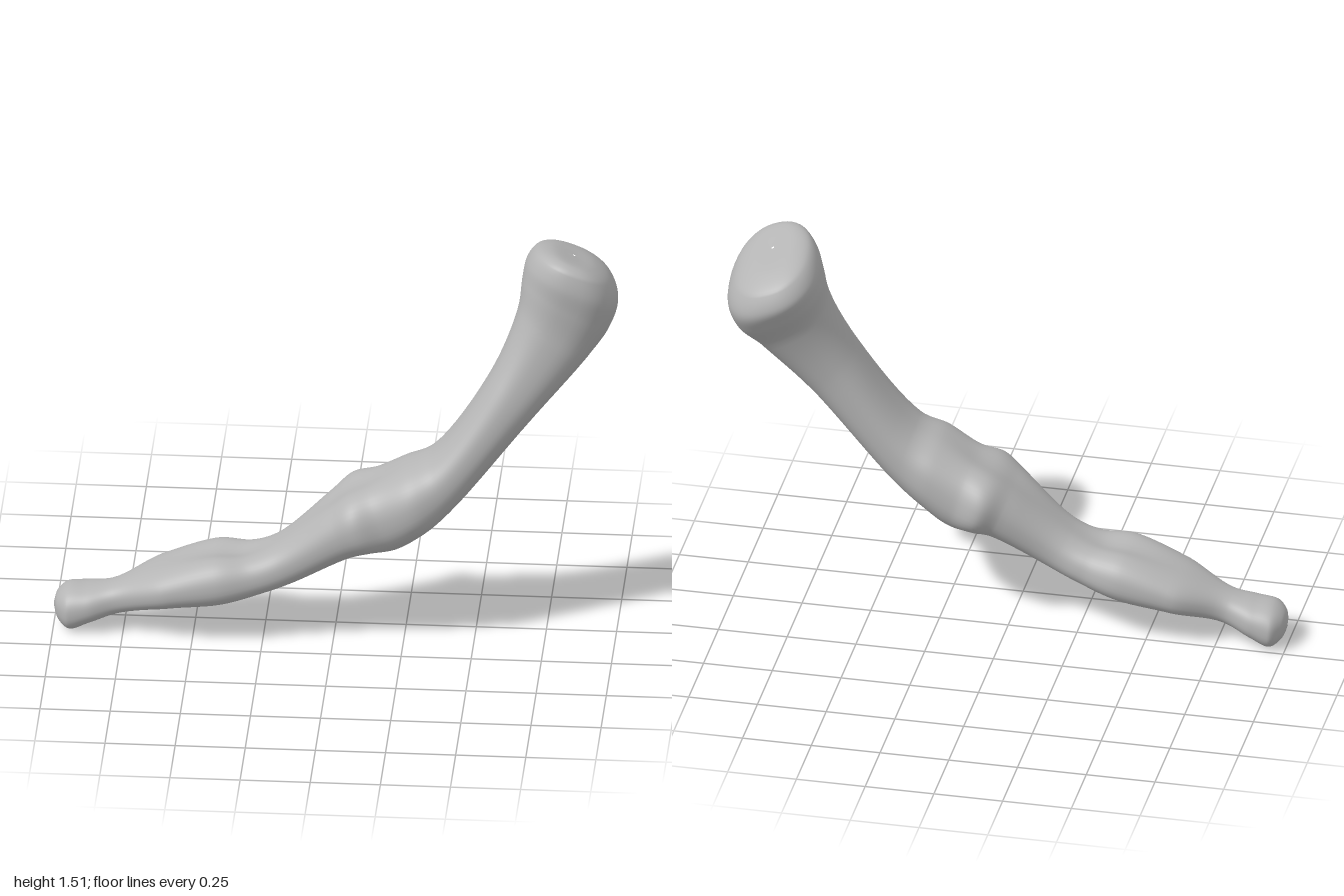
import * as THREE from 'three';

// Cross-sections from the slim tip to the big knuckle head:
// [topX, topY, bottomX, bottomY, backZ, frontZ]
const SECTIONS = [
  [-1.0, 0.085, -1.0, 0.075, 0.075, 0.085],
  [-0.988, 0.125, -0.982, 0.03, 0.02, 0.14],
  [-0.95, 0.156, -0.94, 0.0, -0.018, 0.182],
  [-0.88, 0.165, -0.87, 0.028, -0.01, 0.182],
  [-0.79, 0.183, -0.77, 0.068, 0.018, 0.167],
  [-0.62, 0.262, -0.59, 0.11, -0.058, 0.232],
  [-0.43, 0.325, -0.4, 0.137, -0.067, 0.252],
  [-0.31, 0.332, -0.24, 0.188, -0.035, 0.23],
  [-0.21, 0.375, -0.13, 0.235, -0.022, 0.225],
  [-0.02, 0.54, 0.07, 0.345, -0.07, 0.262],
  [0.05, 0.597, 0.14, 0.365, -0.108, 0.28],
  [0.14, 0.636, 0.22, 0.372, -0.085, 0.258],
  [0.25, 0.697, 0.32, 0.438, -0.08, 0.272],
  [0.35, 0.745, 0.42, 0.528, -0.068, 0.242],
  [0.55, 1.03, 0.7, 0.87, -0.09, 0.172],
  [0.645, 1.26, 0.9, 1.1, -0.165, 0.118],
  [0.66, 1.37, 0.972, 1.2, -0.245, 0.12],
  [0.675, 1.435, 1.0, 1.3, -0.288, 0.13],
  [0.71, 1.482, 0.975, 1.385, -0.268, 0.118],
  [0.765, 1.495, 0.92, 1.44, -0.19, 0.075],
  [0.84, 1.472, 0.85, 1.467, -0.06, -0.05],
];
const STEPS = 8;
const SIDES = 48;

const curve = (pick) =>
  new THREE.CatmullRomCurve3(SECTIONS.map((s) => new THREE.Vector3(...pick(s))));

// Squared-off sine and cosine, for a slightly boxy oval
const soften = (v) => Math.sign(v) * Math.pow(Math.abs(v), 0.86);

const bump = (v, centre, spread) => Math.exp(-(((v - centre) / spread) ** 2));

function boneGeometry() {
  const top = curve((s) => [s[0], s[1], 0]);
  const bottom = curve((s) => [s[2], s[3], 0]);
  const width = curve((s) => [s[4], s[5], 0]);
  const rings = (SECTIONS.length - 1) * STEPS;
  const positions = [];
  const indices = [];

  for (let i = 0; i <= rings; i++) {
    const t = i / rings;
    const a = top.getPoint(t);
    const b = bottom.getPoint(t);
    const w = width.getPoint(t);
    const midX = (a.x + b.x) / 2;
    const midY = (a.y + b.y) / 2;
    const midZ = (w.x + w.y) / 2;
    const halfZ = (w.y - w.x) / 2;
    // Saddles on top of the two joints, and a head that slopes down to the back
    const groove = 0.03 * (bump(midX, -0.38, 0.15) + bump(midX, 0.1, 0.12));
    const tilt = 0.21 * halfZ * THREE.MathUtils.smoothstep(midY, 1.0, 1.35);
    for (let j = 0; j < SIDES; j++) {
      const angle = (j / SIDES) * Math.PI * 2;
      const across = soften(Math.cos(angle));
      const up = soften(Math.sin(angle));
      const dip = groove * Math.max(0, up) * (0.45 - bump(across, 0, 0.45));
      positions.push(
        midX + ((a.x - b.x) / 2) * up + tilt * across * 0.45,
        midY + ((a.y - b.y) / 2) * up + dip + tilt * across * 0.9,
        midZ + halfZ * across
      );
      if (i < rings) {
        const p = i * SIDES + j;
        const q = i * SIDES + ((j + 1) % SIDES);
        indices.push(p, p + SIDES, q, q, p + SIDES, q + SIDES);
      }
    }
  }

  const geometry = new THREE.BufferGeometry();
  geometry.setAttribute('position', new THREE.Float32BufferAttribute(positions, 3));
  geometry.setIndex(indices);
  geometry.computeVertexNormals();
  return geometry;
}

export function createModel() {
  const group = new THREE.Group();
  group.name = 'fingerBones';
  const boneGrey = new THREE.MeshStandardMaterial({ color: 0xb5b5b5 });
  boneGrey.name = 'bone grey';

  // Three fused finger bones as one smooth body
  const bones = new THREE.Mesh(boneGeometry(), boneGrey);
  bones.name = 'fusedFingerBones';
  group.add(bones);
  return group;
}
